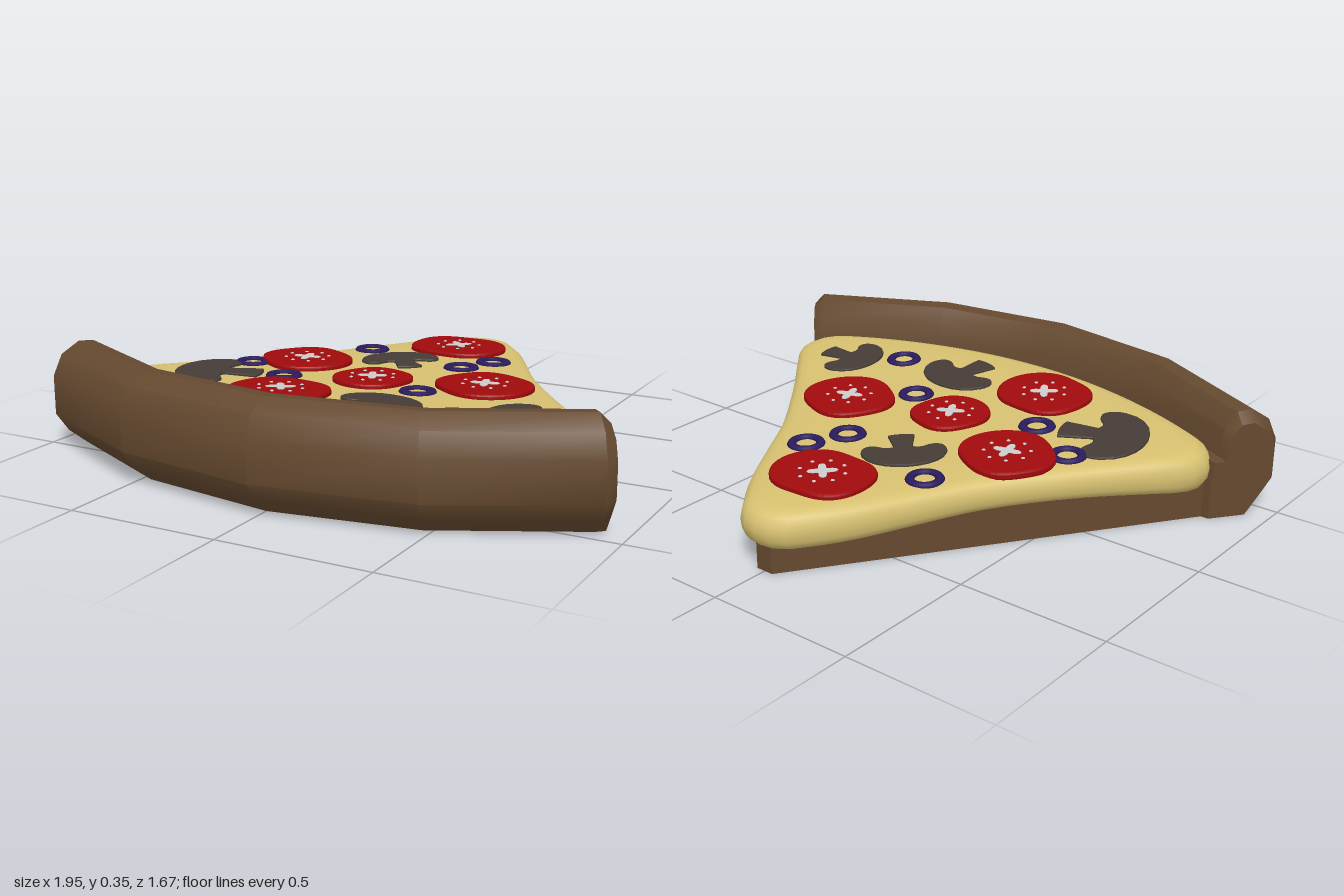
import * as THREE from 'three';
import { toCreasedNormals } from 'three/addons/utils/BufferGeometryUtils.js';

const material = (color) => new THREE.MeshStandardMaterial({ color, side: THREE.DoubleSide });
const crustMat = material(0x65492f);
const cheeseMat = material(0xd6c070);
const tomatoMat = material(0xa00a0c);
const paleMat = material(0xcccccc);
const oliveMat = material(0x2a1a5c);
const mushroomMat = material(0x453c36);

function mesh(name, geometry, mat) {
  const m = new THREE.Mesh(geometry, mat);
  m.name = name;
  return m;
}

// Joins closed rings of equal length into a capped solid
function loft(rings, crease) {
  const n = rings[0].length;
  const pos = rings.flat().flatMap((p) => [p.x, p.y, p.z]);
  const idx = [];
  for (let i = 0; i < rings.length - 1; i++) {
    for (let j = 0; j < n; j++) {
      const k = (j + 1) % n;
      const a = i * n + j, b = a + n, c = (i + 1) * n + k, d = i * n + k;
      idx.push(a, b, c, a, c, d);
    }
  }
  for (const end of [0, rings.length - 1]) {
    const centre = new THREE.Vector3();
    rings[end].forEach((p) => centre.addScaledVector(p, 1 / n));
    const c = pos.length / 3;
    pos.push(centre.x, centre.y, centre.z);
    for (let j = 0; j < n; j++) {
      const a = end * n + j, b = end * n + ((j + 1) % n);
      if (end === 0) idx.push(c, a, b);
      else idx.push(c, b, a);
    }
  }
  const g = new THREE.BufferGeometry();
  g.setAttribute('position', new THREE.Float32BufferAttribute(pos, 3));
  g.setIndex(idx);
  g.computeVertexNormals();
  return toCreasedNormals(g, crease);
}

// Raised crust: a profile (inset from the rim, height) swept about the tip
const TIP_Z = -0.8, RADIUS = 1.635, HALF_ANGLE = 0.648;
const crustProfile = [
  [0.1, 0], [0.04, 0.05], [0, 0.11], [0, 0.24], [0.03, 0.31], [0.09, 0.35], [0.14, 0.345],
  [0.18, 0.29], [0.195, 0.2], [0.24, 0.2], [0.25, 0.1], [0.25, 0],
];
function crustGeometry() {
  const stations = [
    [-HALF_ANGLE, 0.82], [-HALF_ANGLE + 0.022, 1], [-0.312, 1], [0, 1],
    [0.312, 1], [HALF_ANGLE - 0.022, 1], [HALF_ANGLE, 0.82],
  ];
  const rings = stations.map(([angle, s]) => crustProfile.map(([inset, y]) => {
    const r = RADIUS - (0.12 + (inset - 0.12) * s);
    const h = y === 0 ? 0 : 0.16 + (y - 0.16) * s;
    return new THREE.Vector3(Math.sin(angle) * r, h, TIP_Z + Math.cos(angle) * r);
  }));
  return loft(rings, 0.6);
}

// Flat base under the cheese
function baseGeometry() {
  const s = new THREE.Shape();
  s.moveTo(-0.03, TIP_Z);
  s.lineTo(0.03, TIP_Z);
  for (let i = 2; i >= -2; i--) {
    const a = i * 0.316;
    s.lineTo(Math.sin(a) * 1.46, TIP_Z + Math.cos(a) * 1.46);
  }
  s.closePath();
  const g = new THREE.ExtrudeGeometry(s, { depth: 0.13, bevelEnabled: false });
  return g.rotateX(Math.PI / 2).translate(0, 0.13, 0);
}

// Cheese: rounded wedge overhanging the base
const cheeseTop = (z) => 0.228 + 0.025 * z + 0.05 * Math.max(0, z) ** 2;
const cheeseBottom = (z) => 0.105 + 0.02 * Math.cos(4 * (z + 0.1));
function cheeseGeometry() {
  const half = [
    [0.07, -0.818], [0.12, -0.765], [0.2, -0.66], [0.3, -0.49], [0.41, -0.3], [0.52, -0.15],
    [0.64, 0], [0.76, 0.14], [0.83, 0.23], [0.845, 0.3], [0.82, 0.37], [0.72, 0.43], [0.5, 0.51], [0.25, 0.565],
  ];
  const points = [[0, -0.835], ...half, [0, 0.583], ...half.map(([x, z]) => [-x, z]).reverse()];
  const outline = new THREE.CatmullRomCurve3(
    points.map(([x, z]) => new THREE.Vector3(x, 0, z)), true).getSpacedPoints(96).slice(0, 96);
  // Each layer: inward shrink, height between underside and top
  const layers = [
    [0.07, 0], [0.025, 0.06], [0.005, 0.25], [0, 0.5], [0.008, 0.7], [0.025, 0.86],
    [0.055, 0.96], [0.1, 1], [0.3, 1], [0.6, 1], [0.85, 1],
  ];
  return loft(layers.map(([d, t]) => outline.map((p) => {
    const z = p.z * (1 - d);
    return new THREE.Vector3(p.x * (1 - d), THREE.MathUtils.lerp(cheeseBottom(z), cheeseTop(z), t), z);
  })), 1.1);
}

// Closed shape from a polar rule
function polarShape(radius, steps) {
  const pts = [];
  for (let i = 0; i < steps; i++) {
    const a = (i / steps) * Math.PI * 2;
    pts.push(new THREE.Vector2(Math.cos(a) * radius(a), Math.sin(a) * radius(a)));
  }
  return new THREE.Shape(pts);
}

// Thin slab with softened edges; its visible face is at local z = 0
function slab(shape, thickness, bevel) {
  const g = new THREE.ExtrudeGeometry(shape, {
    depth: thickness - 2 * bevel, bevelThickness: bevel, bevelSize: bevel,
    bevelOffset: -bevel, bevelSegments: 2, curveSegments: 10,
  });
  return g.translate(0, 0, bevel);
}

// Lays a topping on the cheese: local x,y become world x,z and local -z is up
function lay(name, x, z, lift, spin, ...parts) {
  const g = new THREE.Group();
  g.name = name;
  g.position.set(x, cheeseTop(z) + lift, z);
  g.rotation.x = Math.PI / 2 - 0.025 - 0.1 * Math.max(0, z);
  g.rotation.z = spin;
  g.add(...parts);
  return g;
}

// Tomato slice with pale core and a ring of seeds
function tomato(x, z, r, stretch, spin) {
  const outline = polarShape((a) => r * (1 + stretch * Math.cos(2 * a) - 0.03 * Math.cos(4 * a)
    + 0.012 * Math.cos(5 * a)), 48);
  const star = polarShape((a) => 0.033 + 0.015 * Math.cos(4 * (a - Math.PI / 4)), 32);
  const core = mesh('tomatoCore', slab(star, 0.008, 0.001), paleMat);
  core.position.z = -0.003;
  const parts = [mesh('tomatoFlesh', slab(outline, 0.026, 0.007), tomatoMat), core];
  for (let i = 0; i < 8; i++) {
    const a = ((i + 0.5) / 8) * Math.PI * 2;
    const seed = mesh('tomatoSeed', new THREE.SphereGeometry(0.0065, 8, 6), paleMat);
    seed.position.set(Math.cos(a) * 0.073, Math.sin(a) * 0.073, 0);
    seed.scale.z = 0.6;
    parts.push(seed);
  }
  return lay('tomatoSlice', x, z, 0.017, spin, ...parts);
}

// Mushroom slice: domed cap, stem pointing along +x
function mushroom(x, z, size, spin) {
  const s = new THREE.Shape();
  s.moveTo(0.12, -0.045);
  s.lineTo(0.03, -0.03);
  s.quadraticCurveTo(0.015, -0.055, 0.035, -0.08);
  s.bezierCurveTo(0.06, -0.125, 0.02, -0.15, -0.02, -0.14);
  s.bezierCurveTo(-0.14, -0.11, -0.14, 0.11, -0.02, 0.14);
  s.bezierCurveTo(0.02, 0.15, 0.06, 0.125, 0.035, 0.08);
  s.quadraticCurveTo(0.015, 0.055, 0.03, 0.03);
  s.lineTo(0.12, 0.045);
  s.quadraticCurveTo(0.135, 0, 0.12, -0.045);
  const slice = mesh('mushroomFlesh', slab(s, 0.022, 0.004), mushroomMat);
  slice.scale.set(size, size, 1);
  return lay('mushroomSlice', x, z, 0.009, spin, slice);
}

// Olive ring
function olive(x, z) {
  const ring = mesh('oliveFlesh', new THREE.TorusGeometry(0.046, 0.015, 8, 28), oliveMat);
  ring.scale.z = 0.7;
  return lay('oliveRing', x, z, 0.001, 0, ring);
}

export function createModel() {
  const model = new THREE.Group();
  model.name = 'pizzaSlice';
  model.add(
    mesh('crust', crustGeometry(), crustMat),
    mesh('base', baseGeometry(), crustMat),
    mesh('cheese', cheeseGeometry(), cheeseMat),
  );
  [[0, -0.54, 0.157, 0.1, 0], [-0.36, -0.09, 0.155, 0.04, 0.6], [0.33, -0.05, 0.157, 0.04, 0.5],
    [-0.03, 0.045, 0.128, 0.03, 1.9], [-0.19, 0.35, 0.155, 0.07, 0.2]]
    .forEach((t) => model.add(tomato(...t)));
  [[-0.09, -0.265, 0.95, 0.8], [-0.53, 0.21, 1.22, -0.32], [0.15, 0.325, 1.02, 1.8], [0.565, 0.225, 0.92, -0.05]]
    .forEach((m) => model.add(mushroom(...m)));
  [[-0.26, -0.37], [0.2, -0.4], [0.14, -0.27], [-0.51, 0.02], [-0.31, 0.14], [0.17, 0.11], [0.4, 0.32]]
    .forEach((o) => model.add(olive(...o)));
  return model;
}
